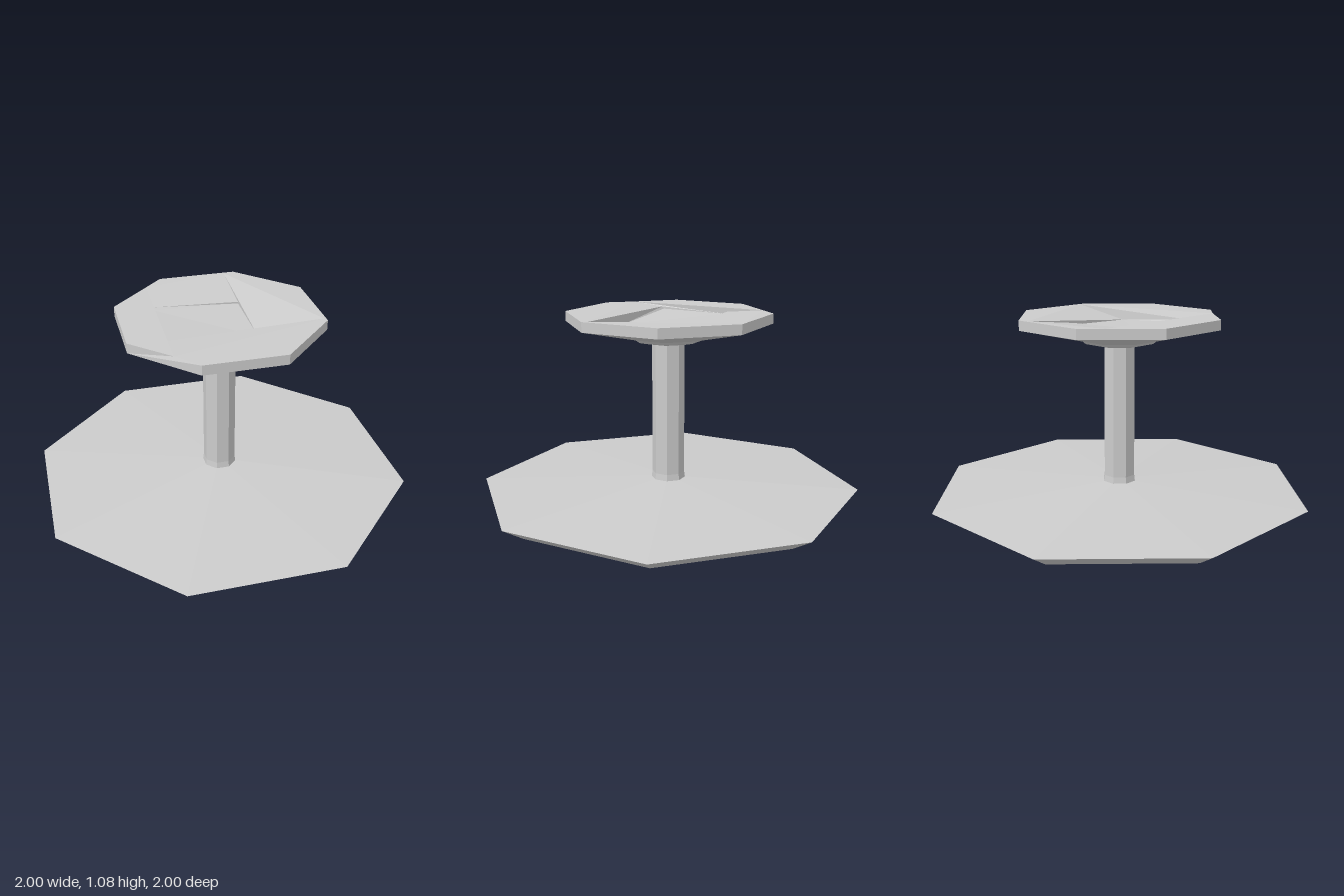
import * as THREE from 'three';

const grey = new THREE.MeshStandardMaterial({ color: 0xcccccc, flatShading: true, side: THREE.DoubleSide });

// Octagon corner k, counter-clockwise seen from above; a = distance to the flat sides
const corner = (a, y, k) => {
  const t = Math.PI / 8 + (k * Math.PI) / 4, r = a / Math.cos(Math.PI / 8);
  return [r * Math.cos(t), y, -r * Math.sin(t)];
};
const ring = (a, y) => Array.from({ length: 8 }, (_, k) => corner(a, y, k));

// Flat-faced mesh from polygons, each split as a fan from its first corner
function facetMesh(name, polygons) {
  const pos = [];
  for (const p of polygons)
    for (let i = 1; i < p.length - 1; i++) pos.push(...p[0], ...p[i], ...p[i + 1]);
  const g = new THREE.BufferGeometry();
  g.setAttribute('position', new THREE.Float32BufferAttribute(pos, 3));
  g.computeVertexNormals();
  const m = new THREE.Mesh(g, grey);
  m.name = name;
  return m;
}

// Outward-facing bands joining [apothem, y] octagons listed from bottom to top
function bands(levels) {
  const out = [];
  for (let i = 0; i < levels.length - 1; i++) {
    const lo = ring(...levels[i]), hi = ring(...levels[i + 1]);
    for (let k = 0; k < 8; k++) {
      const n = (k + 1) % 8;
      out.push([lo[k], lo[n], hi[n], hi[k]]);
    }
  }
  return out;
}

// Octagonal solid with closed ends
function octagonSolid(name, levels) {
  return facetMesh(name, [
    ring(...levels[0]).reverse(),
    ...bands(levels),
    ring(...levels[levels.length - 1]),
  ]);
}

function makeDish() {
  const T = 1.075, L = 1.02, R = 0.532;
  const top = ring(R, T), low = ring(R, L);

  // Outer corners of the pinwheel recess
  const A = [-0.32, T, -0.43], B = [0.16, T, -0.52], C = [0.52, T, 0.195], D = [-0.33, T, 0.41];
  // Lower edges of the sloping flaps
  const aUp = [-0.325, 1.052, -0.21], bUp = [0.16, 1.035, -0.2], dUp = [-0.325, 1.058, 0.21];
  // Recess floor
  const a = [-0.325, 1.04, -0.2], b = [0.16, 1.025, -0.2], c = [0.16, 1.015, 0.195], d = [-0.325, 1.045, 0.2];

  const faces = [
    // level rim around the recess
    [A, top[3], top[4], D],
    [top[1], top[2], A, B],
    [top[0], top[1], B, C, top[7]],
    [top[5], top[6], top[7], C, D],
    // sloping flaps
    [A, aUp, bUp, B], [B, c, C], [D, C, dUp],
    // floor and steep walls
    [a, d, c, b],
    [a, aUp, A, D, dUp, d],
    [aUp, a, b, bUp],
    [B, bUp, b, c],
    [c, d, dUp, C],
  ];

  // Outer edge, with a small dent beside the front seam
  for (let k = 0; k < 8; k++) {
    const n = (k + 1) % 8;
    if (k === 4) faces.push([low[k], low[n], top[n], D], [low[k], D, top[k]]);
    else faces.push([low[k], low[n], top[n], top[k]]);
  }

  // Shallow tapering underside
  faces.push(...bands([[0.13, 0.912], [0.185, 0.925], [0.2, 0.94], [R, L]]));
  faces.push(ring(0.13, 0.912).reverse());
  return facetMesh('dish', faces);
}

export function createModel() {
  const model = new THREE.Group();
  model.name = 'pedestalTable';
  model.add(
    octagonSolid('base', [[0.89, 0], [1, 0.075], [0.085, 0.125]]),
    octagonSolid('post', [[0.09, 0.115], [0.084, 0.16], [0.084, 0.93]]),
    makeDish(),
  );
  return model;
}
